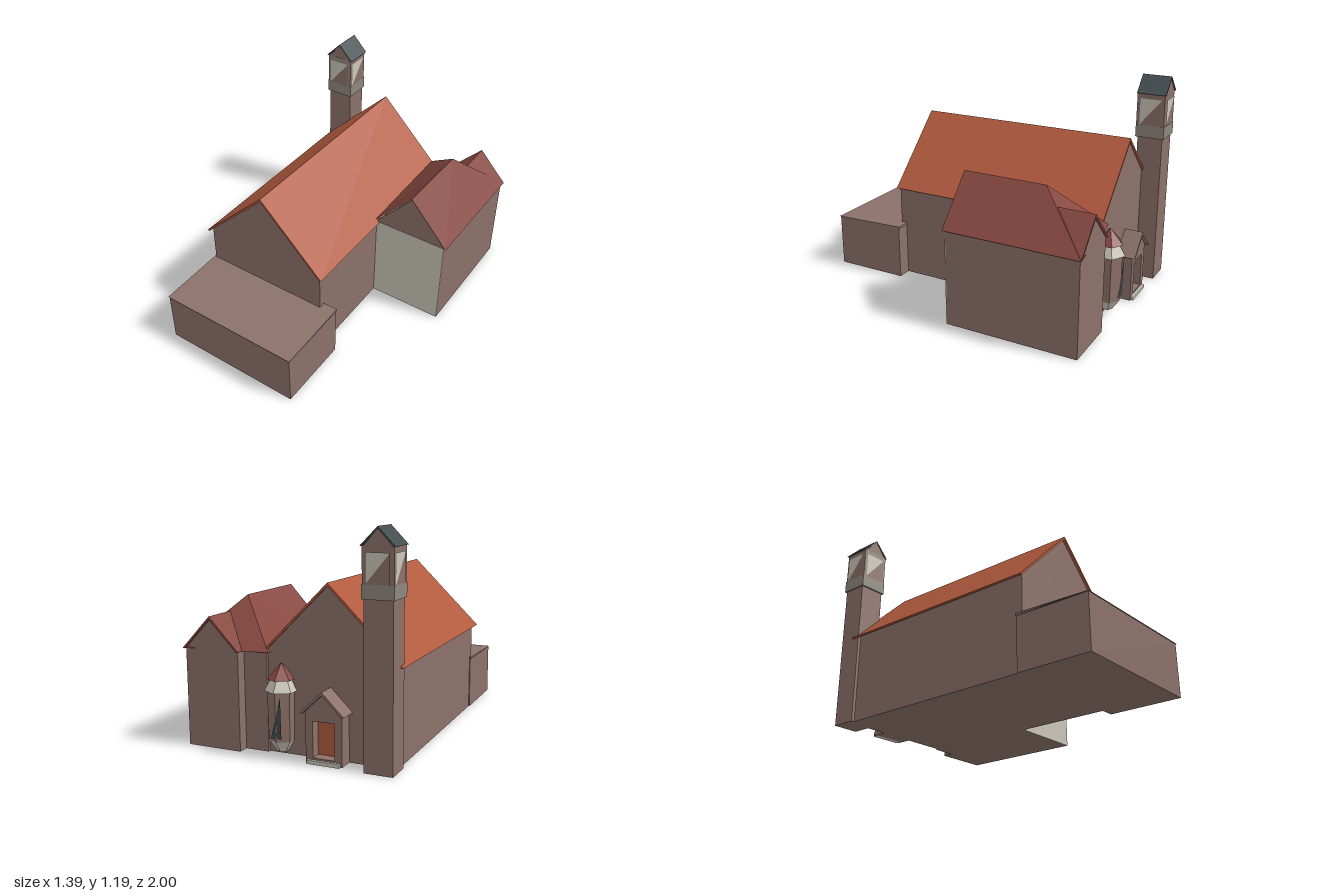
import * as THREE from 'three';

const mat = (name, color, side = THREE.FrontSide) => {
  const m = new THREE.MeshStandardMaterial({ color, side });
  m.name = name;
  return m;
};

export function createModel() {
  const wall = mat('brown plaster', 0x8c7169, THREE.DoubleSide);
  const tile = mat('orange tile', 0xb25a3e, THREE.DoubleSide);
  const redTile = mat('dark red tile', 0x864840, THREE.DoubleSide);
  const pale = mat('pale plaster', 0xcac6b9, THREE.DoubleSide);
  const grey = mat('grey stone', 0x8e887d);
  const slate = mat('slate', 0x434d50, THREE.DoubleSide);

  const model = new THREE.Group();
  model.name = 'church';
  const building = new THREE.Group();
  building.name = 'building';
  building.rotation.y = 0.293;
  model.add(building);

  const add = (name, geometry, material) => {
    const mesh = new THREE.Mesh(geometry, material);
    mesh.name = name;
    building.add(mesh);
    return mesh;
  };
  // Box given by its limits on each axis
  const box = (name, m, x0, x1, y0, y1, z0, z1) =>
    add(name, new THREE.BoxGeometry(x1 - x0, y1 - y0, z1 - z0)
      .translate((x0 + x1) / 2, (y0 + y1) / 2, (z0 + z1) / 2), m);
  // Outline in x and y, extruded from z0 to z1
  const prism = (name, m, pts, z0, z1, hole) => {
    const shape = new THREE.Shape(pts.map(p => new THREE.Vector2(...p)));
    if (hole) shape.holes.push(new THREE.Path(hole.map(p => new THREE.Vector2(...p))));
    return add(name, new THREE.ExtrudeGeometry(shape, { depth: z1 - z0, bevelEnabled: false })
      .translate(0, 0, z0), m);
  };
  // Thin two-slope roof: left eave, ridge, right eave
  const roof = (name, m, l, r, e, z0, z1, t = 0.012) =>
    prism(name, m, [l, [l[0] + t, l[1] - t / 4], [r[0], r[1] - t * 1.4], [e[0] - t, e[1] - t / 4], e, r], z0, z1);
  // Flat polygons, each split as a fan
  const faces = (name, m, polys) => {
    const pos = [];
    for (const p of polys)
      for (let i = 1; i < p.length - 1; i++) pos.push(...p[0], ...p[i], ...p[i + 1]);
    const g = new THREE.BufferGeometry();
    g.setAttribute('position', new THREE.Float32BufferAttribute(pos, 3));
    g.computeVertexNormals();
    return add(name, g, m);
  };

  // Nave
  prism('naveWalls', wall,
    [[-0.44, 0], [0.295, 0], [0.295, 0.53], [-0.07, 0.89], [-0.44, 0.53]], -0.735, 0.508);
  roof('naveRoof', tile, [-0.47, 0.512], [-0.07, 0.903], [0.312, 0.525], -0.745, 0.522);

  // Low front annex with a slightly sloping roof
  box('annexWalls', wall, -0.445, 0.375, 0, 0.3, 0.475, 0.9);
  faces('annexRoof', wall, [
    [[-0.45, 0.302, 0.905], [0.38, 0.302, 0.905], [0.38, 0.315, 0.47], [-0.45, 0.315, 0.47]],
    [[0.38, 0.302, 0.905], [0.38, 0.302, 0.47], [0.38, 0.315, 0.47]],
    [[-0.45, 0.302, 0.47], [-0.45, 0.302, 0.905], [-0.45, 0.315, 0.47]],
    [[0.38, 0.302, 0.47], [-0.45, 0.302, 0.47], [-0.45, 0.315, 0.47], [0.38, 0.315, 0.47]],
  ]);

  // Side wing
  box('wingWalls', wall, 0.275, 0.725, 0, 0.53, -0.75, -0.07);
  prism('wingFrontGable', wall, [[0.29, 0.53], [0.73, 0.53], [0.51, 0.775]], -0.08, -0.068);
  box('wingFrontFace', pale, 0.295, 0.725, 0, 0.53, -0.071, -0.066);
  const A = [0.275, 0.53, -0.06], B = [0.74, 0.53, -0.06], C = [0.74, 0.53, -0.82];
  const D = [0.258, 0.53, -0.765], R1 = [0.51, 0.785, -0.06], R2 = [0.515, 0.785, -0.53];
  faces('wingRoof', redTile, [[A, R1, R2, D], [B, C, R2, R1], [D, R2, C]]);
  prism('wingBackWalls', wall,
    [[0.41, 0], [0.725, 0], [0.725, 0.53], [0.572, 0.692], [0.41, 0.53]], -0.81, -0.6);
  roof('wingBackRoof', redTile, [0.402, 0.53], [0.572, 0.705], [0.74, 0.528], -0.82, -0.57);

  // Bell tower
  const tx = -0.382, tz = -0.771, h = 0.081;
  box('towerShaft', wall, tx - 0.076, tx + 0.076, 0, 0.86, tz - 0.072, tz + 0.07);
  box('belfry', wall, tx - h, tx + h, 0.85, 1.1, tz - h + 0.004, tz + h - 0.004);
  box('belfryBand', grey, tx - h - 0.003, tx + h + 0.003, 0.85, 0.92, tz - h, tz + h);
  box('belfryFrontFrame', grey, tx - h, tx + h, 0.92, 1.1, tz + h - 0.004, tz + h);
  for (let i = 0; i < 4; i++) {
    const panel = faces('belfryPanel', wall, [
      [[-0.062, 0.92, h + 0.003], [0.062, 0.92, h + 0.003], [0.062, 1.07, h + 0.003]]]);
    const light = faces('belfryLouvre', pale, [
      [[-0.062, 0.92, h + 0.003], [0.062, 1.07, h + 0.003], [-0.062, 1.07, h + 0.003]]]);
    for (const p of [panel, light]) {
      p.position.set(tx, 0, tz);
      p.rotation.y = i * Math.PI / 2;
    }
  }
  prism('towerGable', wall, [[tx - h, 1.09], [tx + h, 1.09], [tx, 1.182]], tz - h + 0.003, tz + h - 0.001);
  roof('towerRoof', slate, [tx - 0.09, 1.098], [tx, 1.19], [tx + 0.09, 1.098], tz - 0.083, tz + 0.083, 0.008);

  // Back porch with a recessed door
  prism('porchFront', wall, [[-0.18, 0], [0.02, 0], [0.02, 0.27], [-0.08, 0.36], [-0.18, 0.27]],
    -0.82, -0.73, [[-0.14, 0.03], [-0.02, 0.03], [-0.02, 0.22], [-0.14, 0.22]]);
  box('porchDoor', tile, -0.14, -0.02, 0.03, 0.22, -0.762, -0.754);
  box('porchStep', pale, -0.17, 0.01, 0, 0.02, -0.835, -0.8);
  roof('porchRoof', wall, [-0.2, 0.262], [-0.08, 0.378], [0.04, 0.262], -0.84, -0.73);

  // Small back bay: tapered foot, body, cap and pointed roof
  const bay = (name, m, rTop, rBottom, y0, y1) =>
    add(name, new THREE.CylinderGeometry(rTop, rBottom, y1 - y0, 6).toNonIndexed()
      .translate(0.19, (y0 + y1) / 2, -0.75), m).geometry.computeVertexNormals();
  bay('bayFoot', pale, 0.07, 0.03, 0.02, 0.08);
  bay('bayBody', wall, 0.075, 0.07, 0.08, 0.34);
  bay('bayCap', pale, 0.055, 0.09, 0.34, 0.4);
  bay('bayRoof', redTile, 0.004, 0.075, 0.4, 0.48);
  faces('bayWindow', slate, [
    [[0.16, 0.1, -0.818], [0.16, 0.32, -0.824], [0.22, 0.1, -0.818]]]);

  return model;
}
